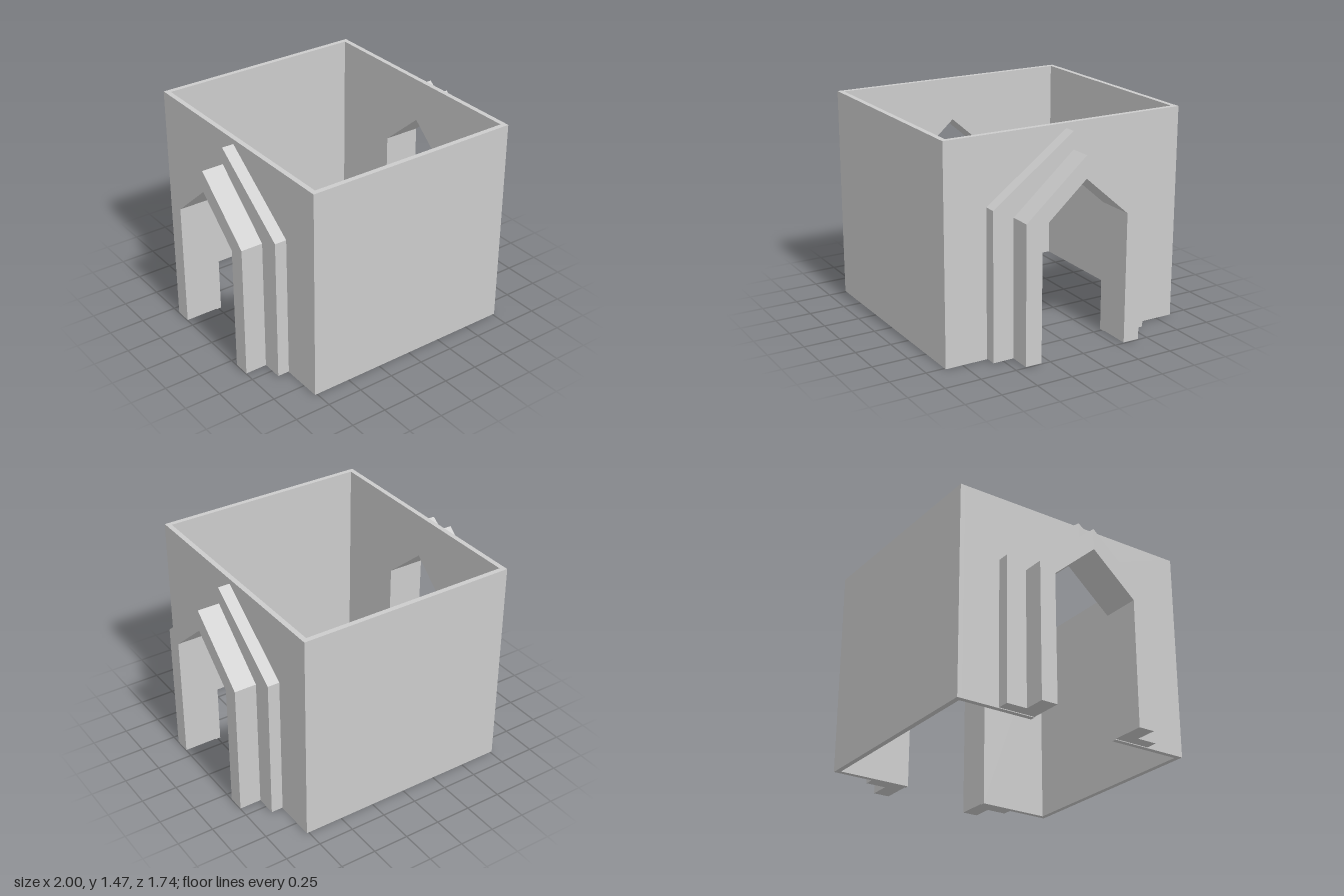
import * as THREE from 'three';

const HEIGHT = 1.467, HALF_X = 0.765, HALF_Z = 0.87, WALL = 0.035;
// Pointed doorway: half width, spring height, apex height
const DOOR = [0.315, 0.89, 1.165];

const material = new THREE.MeshStandardMaterial({ color: 0xcccccc, flatShading: true });

function addMesh(parent, name, geometry) {
  const mesh = new THREE.Mesh(geometry, material);
  mesh.name = name;
  parent.add(mesh);
  return mesh;
}

// Slab with the doorway cut up from its bottom edge, extruded from x = from to x = to
function doorSlab(outer, base, from, to) {
  const [w, spring, apex] = DOOR;
  const points = [
    ...outer,
    [-w, base], [-w, spring], [0, apex], [w, spring], [w, base],
  ].map(([x, y]) => new THREE.Vector2(x, y));
  return new THREE.ExtrudeGeometry(new THREE.Shape(points), { depth: to - from, bevelEnabled: false })
    .translate(0, 0, from)
    .rotateY(Math.PI / 2);
}

// Gabled arch outline, right foot to left foot
const gable = (w, spring, apex, base) => [[w, base], [w, spring], [0, apex], [-w, spring], [-w, base]];

export function createModel() {
  const model = new THREE.Group();
  model.name = 'gatehouse';

  // Plain front and back walls
  for (const [name, s] of [['frontWall', 1], ['backWall', -1]]) {
    addMesh(model, name, new THREE.BoxGeometry(HALF_X * 2, HEIGHT, WALL))
      .position.set(0, HEIGHT / 2, s * (HALF_Z - WALL / 2));
  }

  // Side walls with stepped, pointed portals
  const wz = HALF_Z - WALL;
  for (const [name, angle] of [['left', 0], ['right', Math.PI]]) {
    const side = new THREE.Group();
    side.name = name + 'Side';
    side.rotation.y = angle;
    addMesh(side, name + 'Wall',
      doorSlab([[wz, 0], [wz, HEIGHT], [-wz, HEIGHT], [-wz, 0]], 0, HALF_X - WALL, HALF_X));
    addMesh(side, name + 'InnerArch', doorSlab(gable(0.575, 1.01, 1.433, 0.005), 0.005, HALF_X, 0.848));
    addMesh(side, name + 'OuterArch', doorSlab(gable(0.43, 0.943, 1.315, 0.005), 0.005, 0.848, 1));
    model.add(side);
  }
  return model;
}
